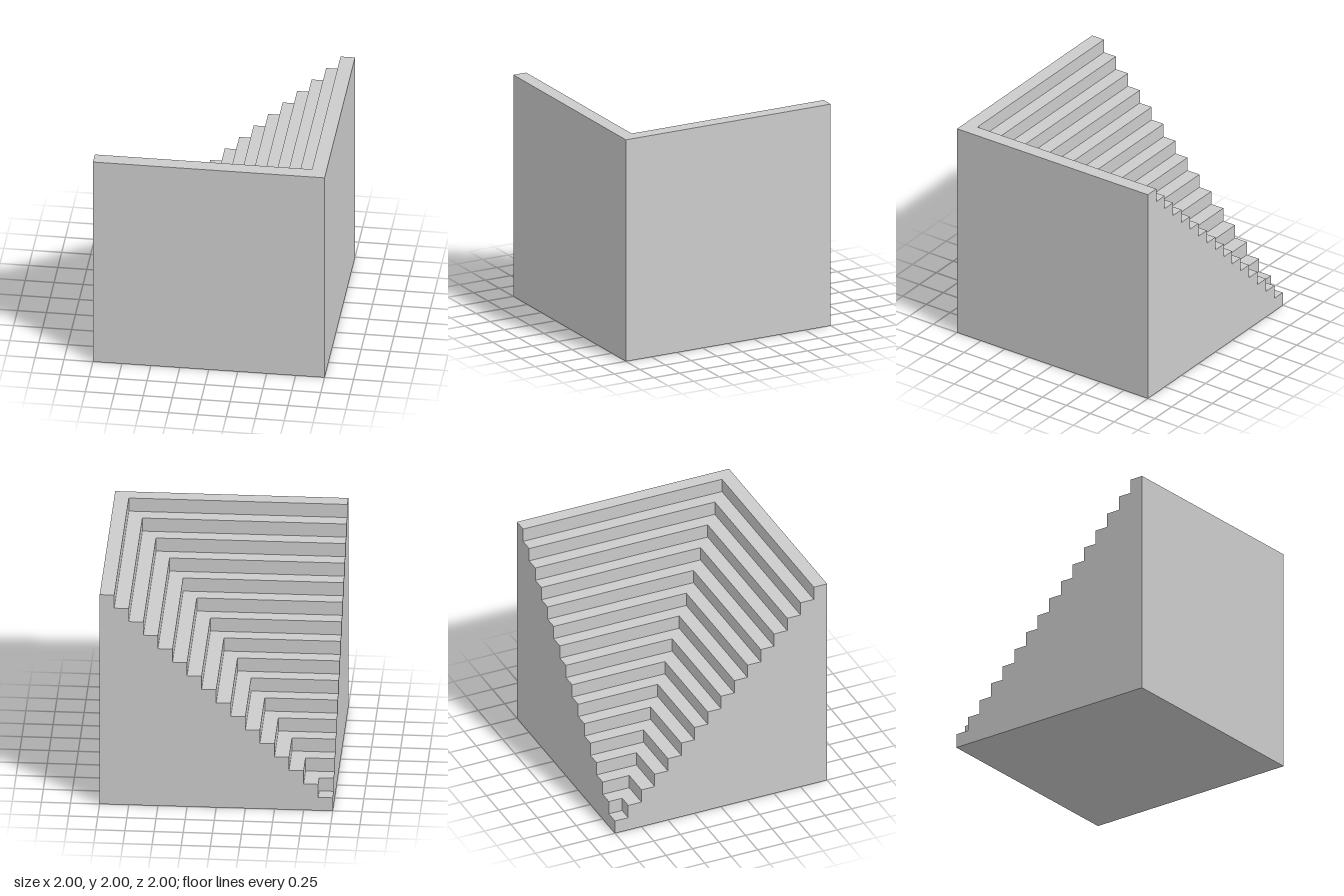
import * as THREE from 'three';

const STEPS = 16;
const STEP = 2 / STEPS; // rise and tread are equal

// L-shaped plan, open towards the back right corner (-x, -z); shape y is -z
function levelShape(inner) {
  const points = [[-1, -1], [1, -1], [1, 1]];
  if (inner > -1) points.push([inner, 1], [inner, -inner], [-1, -inner]);
  else points.push([-1, 1]); // the lowest level is a full square
  return new THREE.Shape(points.map(([x, y]) => new THREE.Vector2(x, y)));
}

export function createModel() {
  const model = new THREE.Group();
  model.name = 'cornerStairs';
  const material = new THREE.MeshStandardMaterial({ color: 0xcccccc, flatShading: true });

  // Stacked levels, each stepping back one tread towards the front left corner
  for (let i = 0; i < STEPS; i++) {
    const geometry = new THREE.ExtrudeGeometry(levelShape(-1 + i * STEP), {
      depth: STEP,
      bevelEnabled: false,
    });
    geometry.rotateX(-Math.PI / 2);
    const level = new THREE.Mesh(geometry, material);
    level.name = i === 0 ? 'base' : `step${i}`;
    level.position.y = i * STEP;
    model.add(level);
  }
  return model;
}
